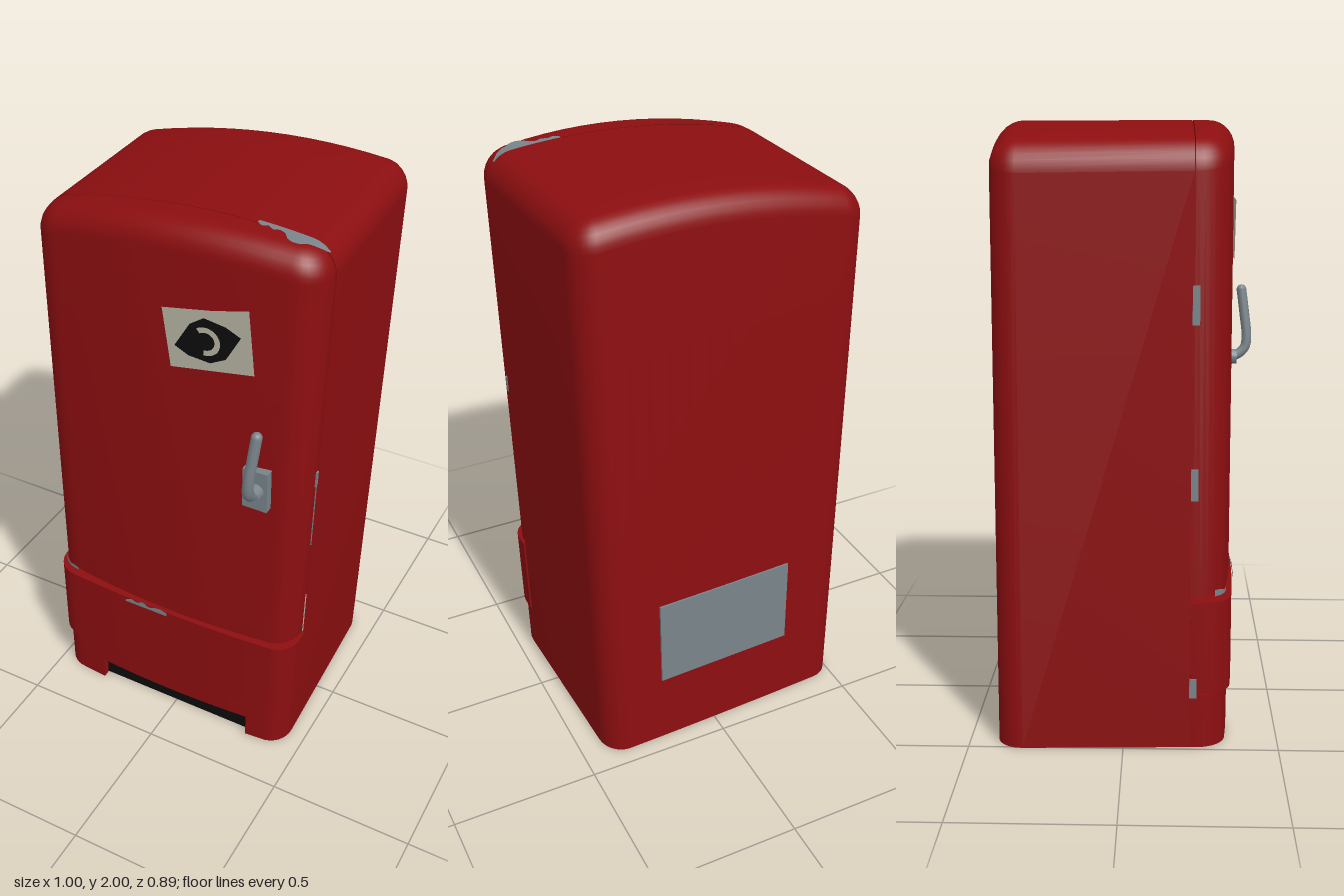
import * as THREE from 'three';
import { toCreasedNormals } from 'three/addons/utils/BufferGeometryUtils.js';

const SEAM = 0.215; // plane where the door meets the cabinet
const FILLET = 0.08;

// Lopsided lean: wider at the top, slightly yawed towards the back
const warpX = (x, y, z) => x * (0.4625 + 0.0137 * y) / 0.49 - 0.03 + 0.016 * y + 0.04 * z;
const warpZ = (x, z) => (z < 0 ? z * (1 + 0.095 * x) : z);
const topY = (x) => 2 - 0.23 * (x - 0.14) ** 2;
const doorZ = (x) => 0.352 - 0.173 * x * x;

function warp(geo) {
  const p = geo.attributes.position;
  for (let i = 0; i < p.count; i++) {
    const x = p.getX(i), y = p.getY(i), z = p.getZ(i);
    p.setXYZ(i, warpX(x, y, z), y, warpZ(x, z));
  }
  return toCreasedNormals(geo, 0.6);
}

// Half plan [x, outward distance], from the right seam round to the left seam
function plan(hw, depth, r, bulge, extra = []) {
  const half = [[hw, 0]], edge = depth - bulge, w = hw - r;
  for (let i = 0; i <= 8; i++) {
    const a = (i / 8) * Math.PI / 2;
    half.push([w + r * Math.cos(a), edge - r + r * Math.sin(a)]);
  }
  const xs = [0, ...extra];
  for (let i = 1; i < 6; i++) xs.push((w * i) / 6, (-w * i) / 6);
  xs.sort((a, b) => b - a);
  const front = xs.map((x) => [x, depth - bulge * (x / w) ** 2]);
  return [...half, ...front, ...half.map(([x, d]) => [-x, d]).reverse()];
}

// Half shell with an arched, rounded top; dir +1 faces front, -1 faces back
function shell({ hw, depth, r, bulge, seam, dir, bottom, capBottom }) {
  const pos = [], idx = [];
  let rings = 0;
  const n = plan(hw, depth, r, bulge).length;
  const ring = (inset, scale, yOf) => {
    for (const [px, d] of plan(hw - inset, depth - inset, Math.max(r - inset, 0.01), bulge)) {
      const x = px * scale, z = seam + dir * d * scale;
      const y = yOf(warpX(x, 1.93, z), x);
      pos.push(warpX(x, y, z), y, warpZ(x, z));
    }
    rings++;
  };
  if (capBottom) ring(0, 0.01, (_, x) => bottom(x));
  ring(0, 1, (_, x) => bottom(x));
  for (let k = 0; k <= 7; k++) {
    const a = (k / 7) * Math.PI / 2;
    ring(FILLET * (1 - Math.cos(a)), 1, (x) => topY(x) - FILLET * (1 - Math.sin(a)));
  }
  for (const s of [0.8, 0.6, 0.4, 0.2, 0.001]) ring(FILLET, s, topY);
  for (let j = 0; j < rings - 1; j++) {
    for (let i = 0; i < n - 1; i++) {
      const a = j * n + i, b = a + 1, c = b + n, d = a + n;
      if (dir > 0) idx.push(a, c, b, a, d, c);
      else idx.push(a, b, c, a, c, d);
    }
  }
  const g = new THREE.BufferGeometry();
  g.setAttribute('position', new THREE.Float32BufferAttribute(pos, 3));
  g.setIndex(idx);
  return toCreasedNormals(g, 0.6);
}

// Horizontal slab cut from a plan outline
function slab(pts, y0, y1) {
  const shape = new THREE.Shape(pts.map(([x, d]) => new THREE.Vector2(x, -(SEAM + d))));
  const g = new THREE.ExtrudeGeometry(shape, { depth: y1 - y0, bevelEnabled: false });
  return warp(g.rotateX(-Math.PI / 2).translate(0, y0, 0));
}

function box(x0, x1, y0, y1, z0, z1) {
  return new THREE.BoxGeometry(x1 - x0, y1 - y0, z1 - z0)
    .translate((x0 + x1) / 2, (y0 + y1) / 2, (z0 + z1) / 2);
}

// Ragged ribbon: rows gives pairs of points across it
function ribbon(rows) {
  const g = new THREE.BufferGeometry(), idx = [];
  g.setAttribute('position', new THREE.Float32BufferAttribute(rows.flat(2), 3));
  for (let i = 0; i < rows.length - 1; i++) {
    const a = i * 2;
    idx.push(a, a + 1, a + 3, a, a + 3, a + 2);
  }
  g.setIndex(idx);
  g.computeVertexNormals();
  return g;
}

export function createModel() {
  const group = new THREE.Group();
  const mat = (name, color) => {
    const m = new THREE.MeshStandardMaterial({ color, side: THREE.DoubleSide });
    m.name = name;
    return m;
  };
  const red = mat('red enamel', 0x8c0e10);
  const metal = mat('bare metal', 0x78848a);
  const paper = mat('old paper', 0xb4b1a1);
  const black = mat('black', 0x0c0c0c);
  const add = (name, geo, material) => {
    const m = new THREE.Mesh(geo, material);
    m.name = name;
    group.add(m);
    return m;
  };

  // Hollow cabinet and its front panel
  add('cabinet', shell({ hw: 0.49, depth: 0.643, r: 0.085, bulge: 0.003, seam: SEAM, dir: -1, bottom: () => 0 }), red);
  add('cabinetFrontPanel', warp(box(-0.475, 0.475, 0.09, 1.86, 0.2, 0.211)), red);

  // Door
  add('door', shell({
    hw: 0.487, depth: 0.134, r: 0.1, bulge: 0.025, seam: SEAM + 0.003, dir: 1,
    bottom: (x) => 0.5 - 0.012 * x, capBottom: true,
  }), red);

  // Lower drawer front
  add('drawerFront', slab(plan(0.496, 0.145, 0.09, 0.015), 0.185, 0.488), red);

  // Plinth with two feet round the grille opening
  const NL = -0.3, NR = 0.335;
  const base = plan(0.49, 0.133, 0.09, 0.018, [NL, NR]);
  add('plinth', slab(base, 0.09, 0.178), red);
  add('leftFoot', slab([[NR, 0], ...base.filter(([x]) => x >= NR)].reverse(), 0, 0.09), red);
  add('rightFoot', slab([...base.filter(([x]) => x <= NL), [NL, 0]], 0, 0.09), red);
  add('grille', warp(box(NL, NR, 0.002, 0.085, 0.28, 0.31)), black);

  // Handle
  add('handlePlate', box(0.285, 0.37, 1.087, 1.235, 0.325, 0.358), metal);
  const boss = add('handleBoss', new THREE.CylinderGeometry(0.026, 0.03, 0.04, 16), metal);
  boss.rotation.x = Math.PI / 2;
  boss.position.set(0.33, 1.16, 0.37);
  const path = new THREE.CatmullRomCurve3([
    [0.33, 1.155, 0.35], [0.332, 1.17, 0.395], [0.335, 1.195, 0.42],
    [0.338, 1.235, 0.426], [0.346, 1.32, 0.417], [0.354, 1.405, 0.406],
  ].map((p) => new THREE.Vector3(...p)));
  add('handleLever', new THREE.TubeGeometry(path, 24, 0.018, 12), metal);
  const tip = add('handleTip', new THREE.SphereGeometry(0.018, 12, 8), metal);
  tip.position.set(0.354, 1.405, 0.406);

  // Hinges on one side, latch on the other
  for (const [y0, y1] of [[1.37, 1.49], [0.82, 0.92], [0.17, 0.235]]) {
    add('hinge', warp(box(-0.499, -0.485, y0, y1, 0.212, 0.235)), metal);
  }
  add('latch', warp(box(0.48, 0.492, 1.14, 1.195, 0.215, 0.228)), metal);

  // Rear service plate
  add('rearPlate', warp(box(-0.25, 0.27, 0.27, 0.595, -0.434, -0.426)), metal);

  // Chipped paint on the door top
  const widths = [0.012, 0.025, 0.016, 0.028, 0.018, 0.026, 0.05, 0.058, 0.055, 0.04, 0.035, 0.025, 0.008];
  add('topChip', ribbon(widths.map((w, i) => {
    const x = 0.25 + i * 0.0185;
    const t = Math.max(0, (x - 0.418) / FILLET);
    const y = topY(x) - FILLET * (1 - Math.sqrt(Math.max(0, 1 - t * t))) + 0.004;
    return [[x, y, 0.207], [x, y, 0.207 + w]];
  })), metal);

  // Chipped paint along the door's lower edge
  const chip = (x0, step, y, heights, z) => add('edgeChip', ribbon(heights.map((h, i) => {
    const x = x0 + i * step;
    return [[x, y + h, z(x)], [x, y, z(x)]];
  })), metal);
  chip(-0.17, 0.024, 0.474, [0.006, 0.02, 0.012, 0.024, 0.01, 0.018, 0.022, 0.014], () => 0.363);
  chip(-0.465, 0.02, 0.503, [0.022, 0.02, 0.012, 0.014, 0.008],
    (x) => Math.min(doorZ(x) + 0.004, 0.327 - 0.1 + 0.1 * Math.sqrt(Math.max(0, 1 - ((x + 0.385) / 0.1) ** 2)) + 0.004));

  // Pinned sheet with a drawn eye, laid along the curved door
  const lay = (geo, lift) => {
    const p = geo.attributes.position;
    for (let i = 0; i < p.count; i++) p.setZ(i, 0.366 - 0.08 * p.getX(i) + lift);
    geo.computeVertexNormals();
    return geo;
  };
  const outline = (pts) => new THREE.ShapeGeometry(new THREE.Shape(pts.map((p) => new THREE.Vector2(...p))));
  add('paperSheet', lay(outline([[0.04, 1.535], [0.31, 1.57], [0.29, 1.785], [0.18, 1.76], [0.015, 1.735]]), 0), paper);
  add('eyeShape', lay(outline([
    [0.055, 1.615], [0.1, 1.59], [0.17, 1.58], [0.22, 1.605], [0.267, 1.69],
    [0.22, 1.715], [0.15, 1.73], [0.105, 1.7],
  ]), 0.002), black);
  add('eyeRing', lay(new THREE.RingGeometry(0.03, 0.048, 24, 1, -1.7, 3.9).translate(0.155, 1.652, 0), 0.004), paper);

  return group;
}
